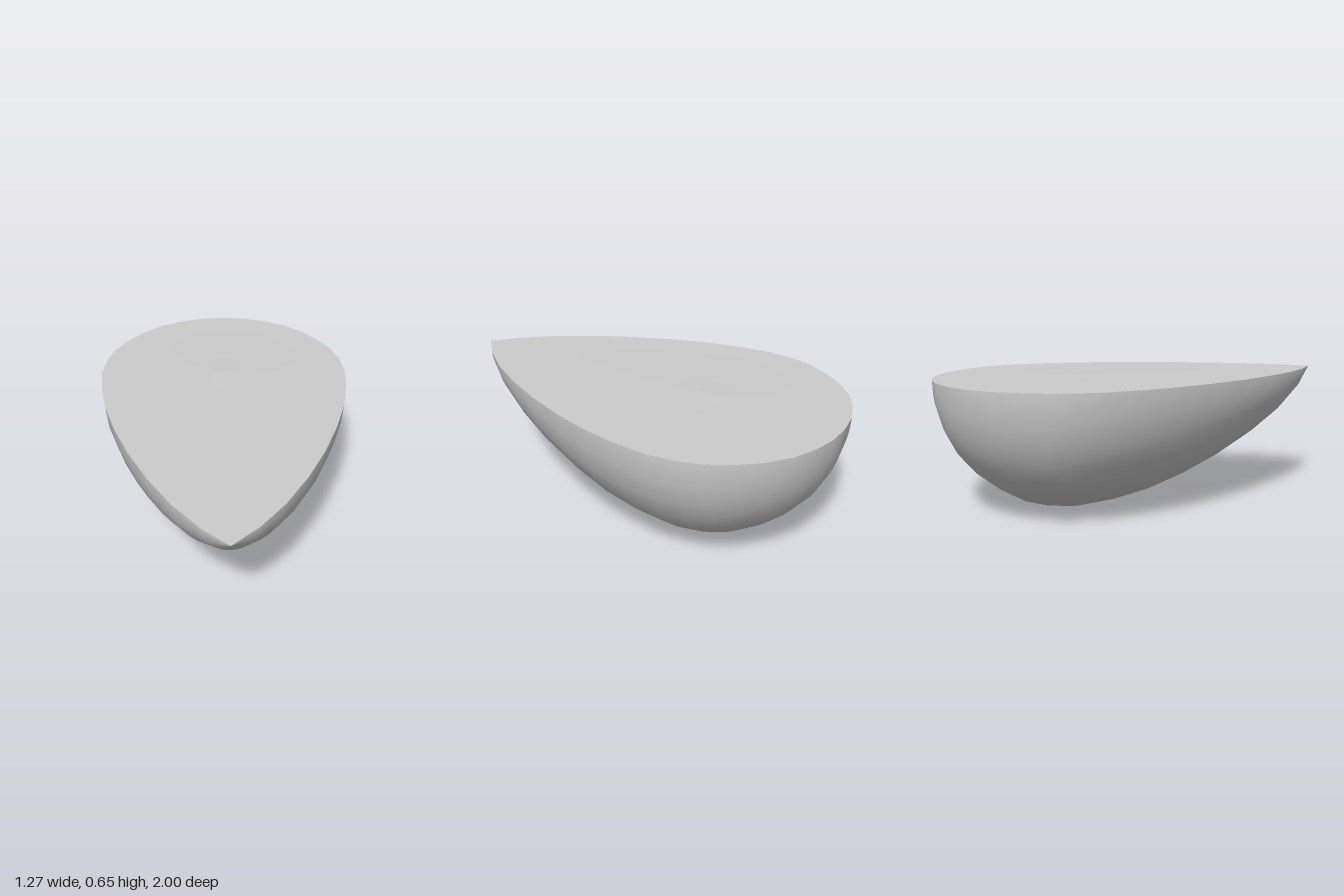
import * as THREE from 'three';

// Teardrop half-outline: [radius, z] from the round back to the pointed front
const PROFILE = [
  [0, -1], [0.12, -0.99], [0.24, -0.955], [0.35, -0.9], [0.45, -0.815], [0.525, -0.72],
  [0.59, -0.605], [0.62, -0.5], [0.635, -0.37], [0.62, -0.2], [0.585, -0.02], [0.525, 0.17],
  [0.445, 0.37], [0.35, 0.56], [0.24, 0.74], [0.12, 0.89], [0, 1],
];
const RIM = 0.635;

// Flat lid made of shrinking teardrop rings that rise to a tiny central peak
function lidGeometry() {
  const outline = [...PROFILE, ...PROFILE.slice(1, -1).reverse().map(([r, z]) => [-r, z])];
  const n = outline.length;
  const rings = [[1, 0], [0.75, 0], [0.5, 0.001], [0.32, 0.002], [0.16, 0.004], [0, 0.011]]; // [scale, rise]
  const centreZ = -0.36;
  const positions = [];
  const index = [];
  for (const [s, rise] of rings) {
    for (const [x, z] of outline) positions.push(x * s, RIM + rise, centreZ + (z - centreZ) * s);
  }
  for (let k = 0; k < rings.length - 1; k++) {
    for (let i = 0; i < n; i++) {
      const j = (i + 1) % n;
      const a = k * n + i, b = k * n + j, c = a + n, d = b + n;
      index.push(c, b, a);
      if (k < rings.length - 2) index.push(c, d, b);
    }
  }
  const geo = new THREE.BufferGeometry();
  geo.setAttribute('position', new THREE.Float32BufferAttribute(positions, 3));
  geo.setIndex(index);
  geo.computeVertexNormals();
  return geo;
}

export function createModel() {
  const group = new THREE.Group();
  group.name = 'halfTeardrop';
  const material = new THREE.MeshStandardMaterial({ color: 0xcccccc });

  // Lower half of the teardrop, revolved about the long axis
  const points = PROFILE.map(([r, z]) => new THREE.Vector2(r, z));
  const bowl = new THREE.LatheGeometry(points, 16, -Math.PI / 2, Math.PI);
  bowl.rotateX(Math.PI / 2);
  bowl.translate(0, RIM, 0);
  const body = new THREE.Mesh(bowl, material);
  body.name = 'roundedUnderside';
  group.add(body);

  const lid = new THREE.Mesh(lidGeometry(), material);
  lid.name = 'flatTop';
  group.add(lid);

  return group;
}
